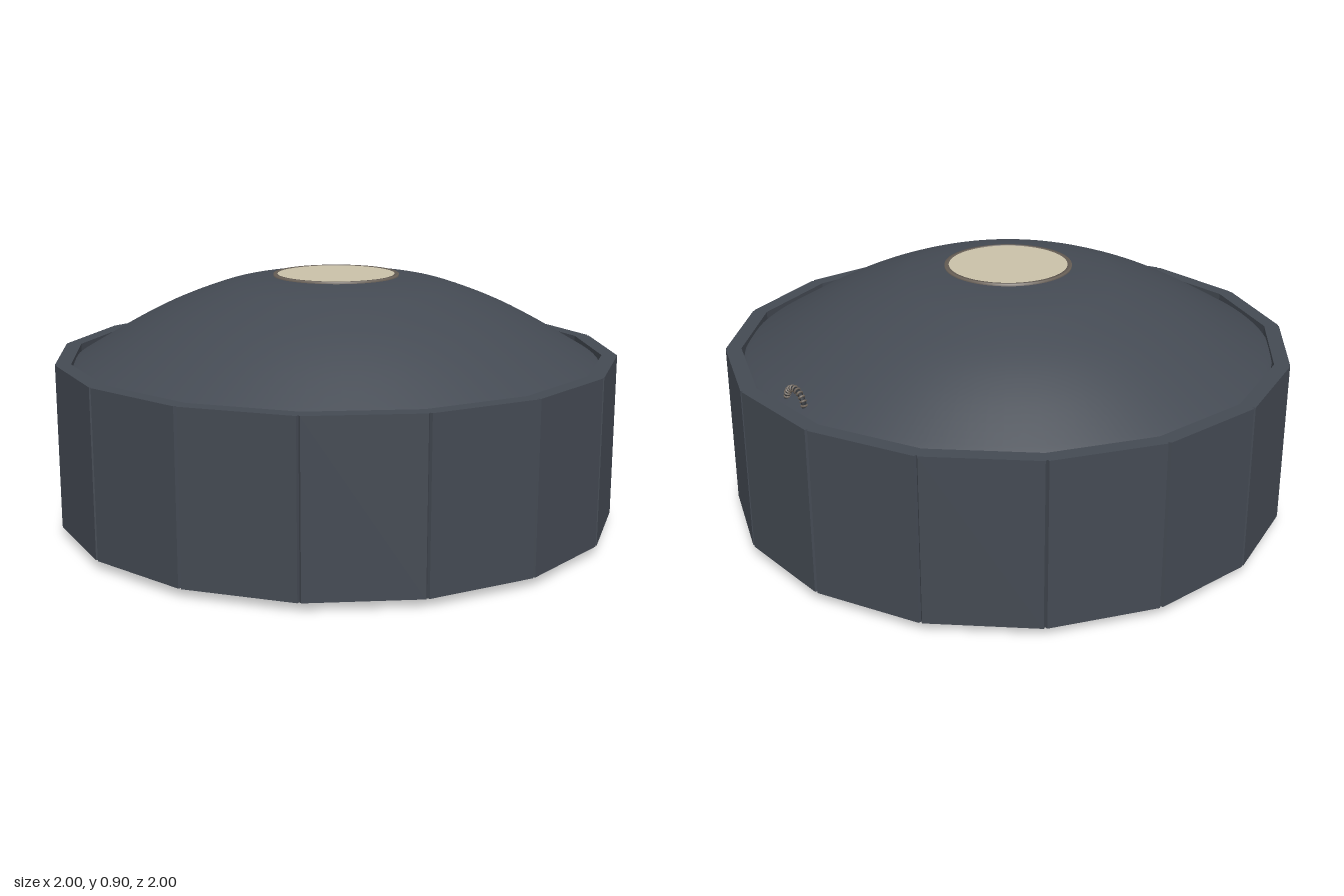
import * as THREE from 'three';

const mat = (name, color, side = THREE.FrontSide) => {
  const m = new THREE.MeshStandardMaterial({ color, side });
  m.name = name;
  return m;
};

export function createModel() {
  const root = new THREE.Group();
  root.name = 'domedDrum';

  const slate = mat('slate', 0x444a53);
  const slateShell = slate.clone();
  slateShell.side = THREE.DoubleSide;
  const dark = mat('darkMetal', 0x2b2f35);
  const taupe = mat('taupeMetal', 0x6f665d);
  const steel = mat('rodMetal', 0x8a8178);
  const cream = mat('creamLens', 0xc9c1a8);

  const add = (name, geometry, material, parent = root, x = 0, y = 0, z = 0) => {
    const mesh = new THREE.Mesh(geometry, material);
    mesh.name = name;
    mesh.position.set(x, y, z);
    parent.add(mesh);
    return mesh;
  };

  const SIDES = 16, STEP = Math.PI * 2 / SIDES;
  const BOTTOM = 0.03, TOP = 0.62;

  // base plate and the core standing on it
  add('basePlate', new THREE.CylinderGeometry(0.75, 0.75, 0.03, 96), taupe, root, 0, 0.015, 0);
  const core = new THREE.CylinderGeometry(0.72, 0.72, 0.55, SIDES, 1, false, STEP / 2).toNonIndexed();
  core.computeVertexNormals();
  add('core', core, slate, root, 0, 0.305, 0);

  // domed roof
  const domeCurve = new THREE.SplineCurve([
    [0.953, 0.6], [0.92, 0.621], [0.74, 0.725], [0.6, 0.795],
    [0.45, 0.853], [0.35, 0.88], [0.22, 0.896], [0.0, 0.896],
  ].map(([x, y]) => new THREE.Vector2(x, y)));
  const domePoints = domeCurve.getPoints(48);
  domePoints[48].x = 0;
  add('dome', new THREE.LatheGeometry(domePoints, 96), slateShell);

  // lens and its rim
  const rimProfile = [[0.213, 0.885], [0.228, 0.885], [0.228, 0.903], [0.213, 0.903], [0.213, 0.885]]
    .map(([x, y]) => new THREE.Vector2(x, y));
  add('lensRim', new THREE.LatheGeometry(rimProfile, 64), taupe);
  add('lens', new THREE.CylinderGeometry(0.214, 0.214, 0.008, 64), cream, root, 0, 0.898, 0);

  // one wall panel, drawn in plan and raised
  const plan = new THREE.Shape();
  [[-0.193, -1], [0.193, -1], [0.197, -0.99], [0.188, -0.945], [-0.188, -0.945], [-0.197, -0.99]]
    .forEach(([x, y], i) => (i ? plan.lineTo(x, y) : plan.moveTo(x, y)));
  plan.closePath();
  const panelGeo = new THREE.ExtrudeGeometry(plan, { depth: TOP - BOTTOM, bevelEnabled: false });
  panelGeo.rotateX(-Math.PI / 2);

  const headGeo = new THREE.CylinderGeometry(0.03, 0.03, 0.04, 16);
  const rodGeo = new THREE.CylinderGeometry(0.017, 0.017, 0.47, 12);
  const clampGeo = new THREE.BoxGeometry(0.05, 0.03, 0.06);

  for (let i = 0; i < SIDES; i++) {
    const bay = new THREE.Group();
    bay.name = 'wallBay' + (i + 1);
    bay.rotation.y = i * STEP;
    root.add(bay);
    add('wallPanel', panelGeo, slate, bay, 0, BOTTOM, 0);

    // a rod beside each edge of the panel, with end caps and a clamp to the wall
    for (const side of [-1, 1]) {
      const x = side * 0.138, z = 0.872;
      add('lowerCap', headGeo, dark, bay, x, 0.052, z);
      add('rod', rodGeo, steel, bay, x, 0.3, z);
      add('upperCap', headGeo, dark, bay, x, 0.545, z);
      add('clamp', clampGeo, dark, bay, x, 0.42, 0.917);
    }
  }

  // ribbed hose looping through the roof edge on the left side
  const HOSE_X = 0.91, R = 0.053, Y = 0.617;
  const path = [[0.3, R], [0.5, R]];
  for (let i = 0; i <= 8; i++) {
    const a = Math.PI * i / 8;
    path.push([Y + R * Math.sin(a), R * Math.cos(a)]);
  }
  path.push([0.5, -R], [0.3, -R]);
  const hoseCurve = new THREE.CatmullRomCurve3(path.map(([y, z]) => new THREE.Vector3(HOSE_X, y, z)));
  const hose = new THREE.Group();
  hose.name = 'hose';
  root.add(hose);
  add('hoseTube', new THREE.TubeGeometry(hoseCurve, 80, 0.009, 8), dark, hose);
  const ribGeo = new THREE.TorusGeometry(0.009, 0.004, 6, 12);
  const RIBS = 56, zAxis = new THREE.Vector3(0, 0, 1);
  for (let i = 0; i <= RIBS; i++) {
    const rib = add('hoseRib', ribGeo, taupe, hose);
    rib.position.copy(hoseCurve.getPointAt(i / RIBS));
    rib.quaternion.setFromUnitVectors(zAxis, hoseCurve.getTangentAt(i / RIBS));
  }

  return root;
}
